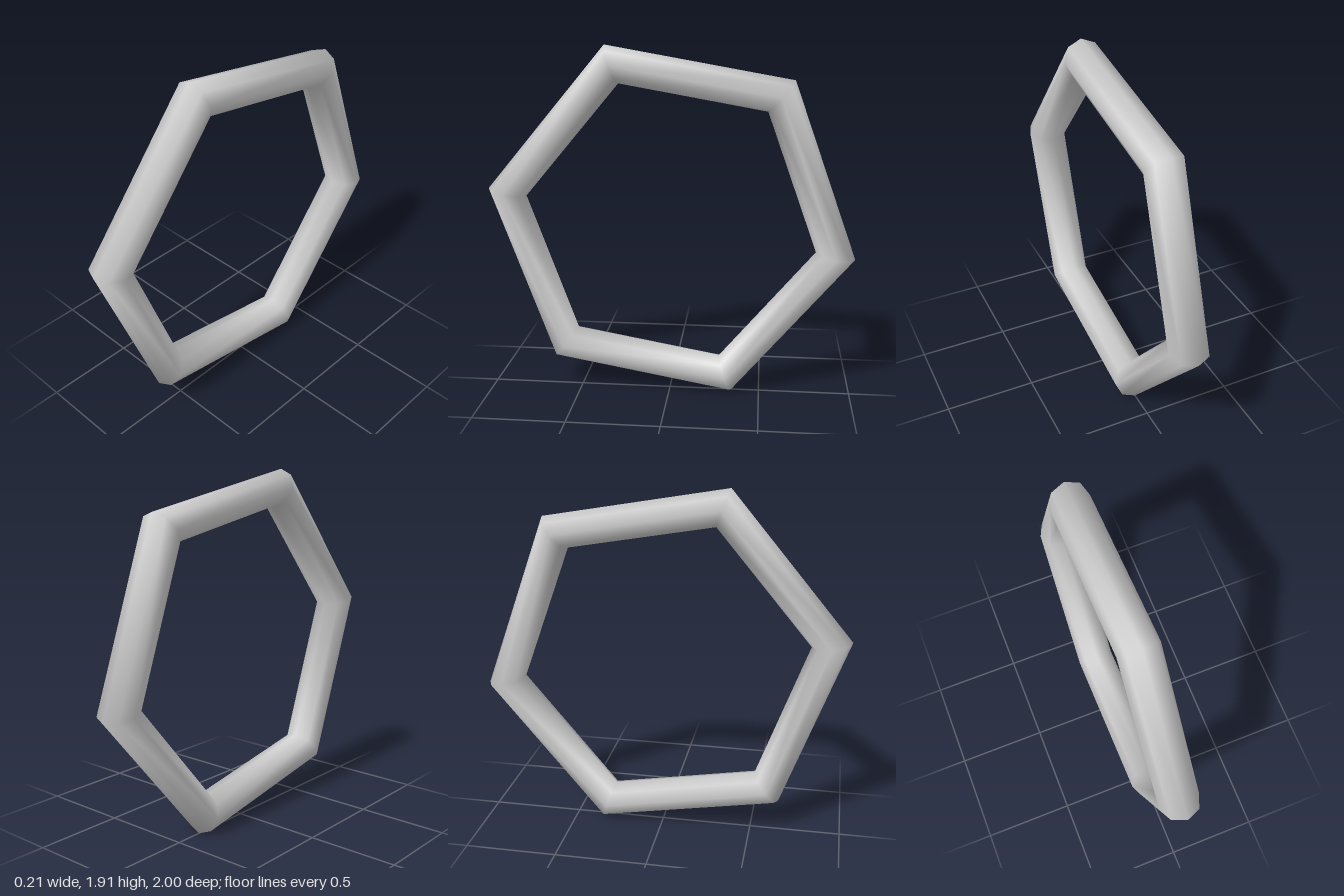
import * as THREE from 'three';

export function createModel() {
  const group = new THREE.Group();
  const tilt = THREE.MathUtils.degToRad(10);
  const outer = 1 / Math.cos(tilt); // corner radius that gives a depth of 2 units
  const tube = 0.107;

  // Six-cornered ring with an eight-sided tube, standing in the y-z plane
  const geometry = new THREE.TorusGeometry(outer - tube, tube, 8, 6);
  geometry.rotateZ(tilt);
  geometry.rotateY(-Math.PI / 2);
  geometry.translate(0, outer * Math.sin(Math.PI / 3 + tilt), 0);

  const ring = new THREE.Mesh(geometry, new THREE.MeshStandardMaterial({ color: 0xcccccc }));
  ring.name = 'hexagonalRing';
  group.add(ring);
  return group;
}
